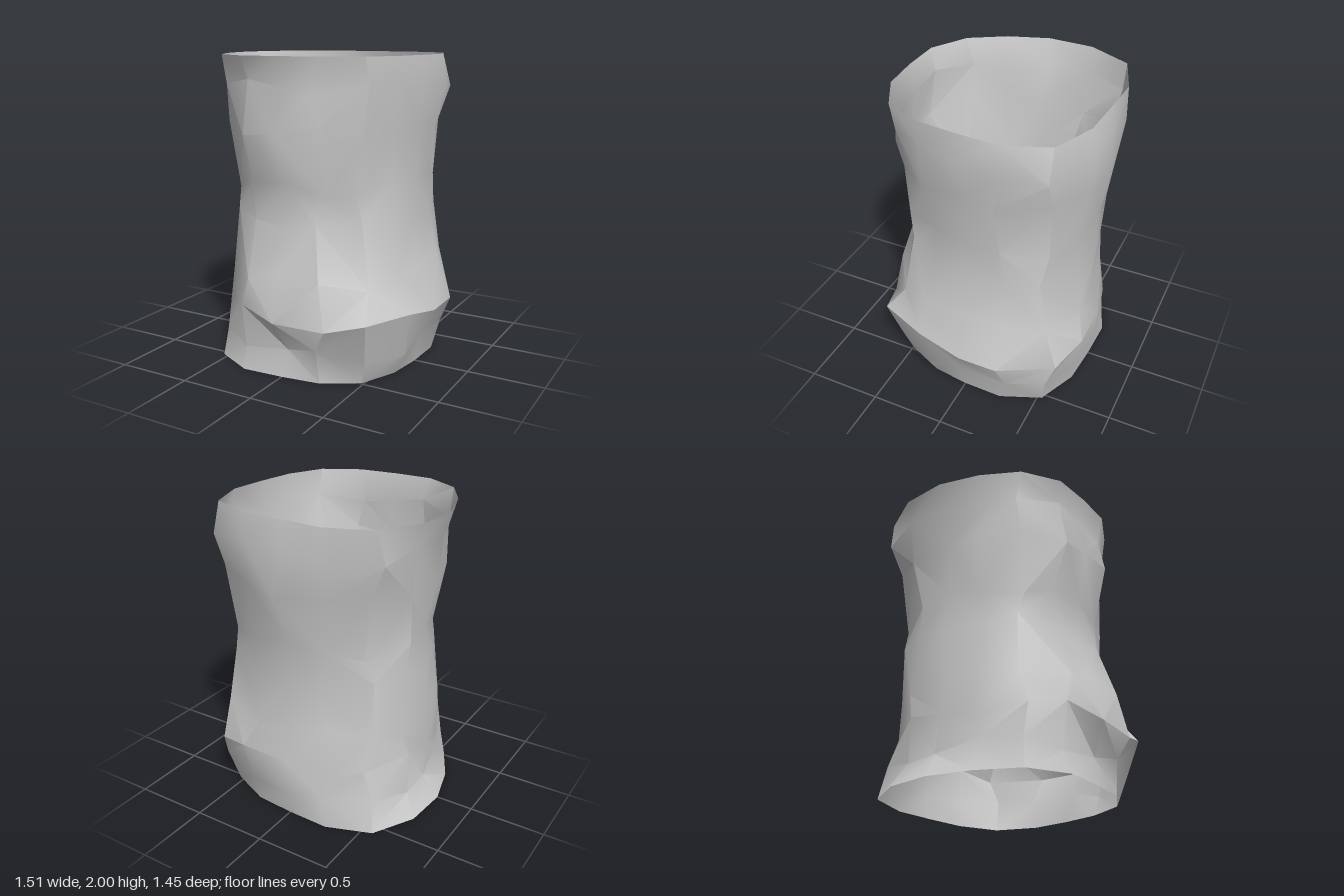
import * as THREE from 'three';
import { toCreasedNormals } from 'three/addons/utils/BufferGeometryUtils.js';

// Radii of the narrow waist, counted from +x towards +z
const waist = [.60, .575, .58, .575, .565, .60, .60, .575, .60, .65, .69, .66, .64, .66, .70, .65];
const SIDES = waist.length;

// Rings: height, then how far the wall bulges past the waist in eight directions from +x
const rings = [
  { y: 0.00, bulge: [.03, .11, .09, .16, .15, .12, .03, .05] },
  { y: 0.18, bulge: [.08, .18, .06, .12, .04, .06, .04, .12] },
  { y: 0.40, bulge: [.14, .26, .16, .10, .05, .02, .08, .16] },
  { y: 0.64, bulge: [.05, .15, .11, .08, .04, .01, .01, .08] },
  { y: 0.98, bulge: [.00, .05, .00, .02, .03, .00, .01, .02] },
  { y: 1.20, bulge: [.00, .04, .01, .02, .00, .00, .02, .02] },
  { y: 1.56, bulge: [.02, .08, .12, .09, .06, .06, .08, .06] },
  { y: 1.82, bulge: [.06, .11, .05, .08, .08, .14, .06, .12] },
  { y: 2.00, bulge: [.04, .13, .09, .12, .14, .14, .04, .08] },
];

// Point on the crumpled wall; inner rings wander in angle and height, rims stay level
function wallPoint(ring, side) {
  const j = side % SIDES;
  const { y, bulge } = rings[ring];
  const inner = ring > 0 && ring < rings.length - 1;

  // Blend the bulge between neighbouring directions
  const turn = (j / SIDES) * 8;
  const k = Math.floor(turn);
  const blend = THREE.MathUtils.lerp(bulge[k], bulge[(k + 1) % 8], turn - k);
  const dent = inner ? 0.01 * Math.sin(j * 2.9 + ring * 4.1) : 0;
  const radius = waist[j] + blend + dent;

  const angle = turn * Math.PI / 4 + (inner ? 0.05 * Math.sin(j * 2.3 + ring * 1.9) : 0);
  const lift = inner ? 0.04 * Math.sin(j * 1.7 + ring * 2.6) : 0;
  return [radius * Math.cos(angle), y + lift, radius * Math.sin(angle)];
}

// Skin neighbouring rings, varying the diagonal for irregular facets
function crumpledWall() {
  const positions = [];
  for (let i = 0; i < rings.length - 1; i++) {
    for (let j = 0; j < SIDES; j++) {
      const a = wallPoint(i, j), b = wallPoint(i, j + 1);
      const c = wallPoint(i + 1, j), d = wallPoint(i + 1, j + 1);
      const corners = (i * 3 + j) % 4 < 2 ? [a, c, b, b, c, d] : [a, c, d, a, d, b];
      for (const p of corners) positions.push(...p);
    }
  }
  const geometry = new THREE.BufferGeometry();
  geometry.setAttribute('position', new THREE.Float32BufferAttribute(positions, 3));
  return toCreasedNormals(geometry, 0.55);
}

export function createModel() {
  const group = new THREE.Group();
  group.name = 'crumpledTube';
  // Thin wall, open at both ends
  const material = new THREE.MeshStandardMaterial({ color: 0xcccccc, side: THREE.DoubleSide });
  const wall = new THREE.Mesh(crumpledWall(), material);
  wall.name = 'wall';
  group.add(wall);
  return group;
}
